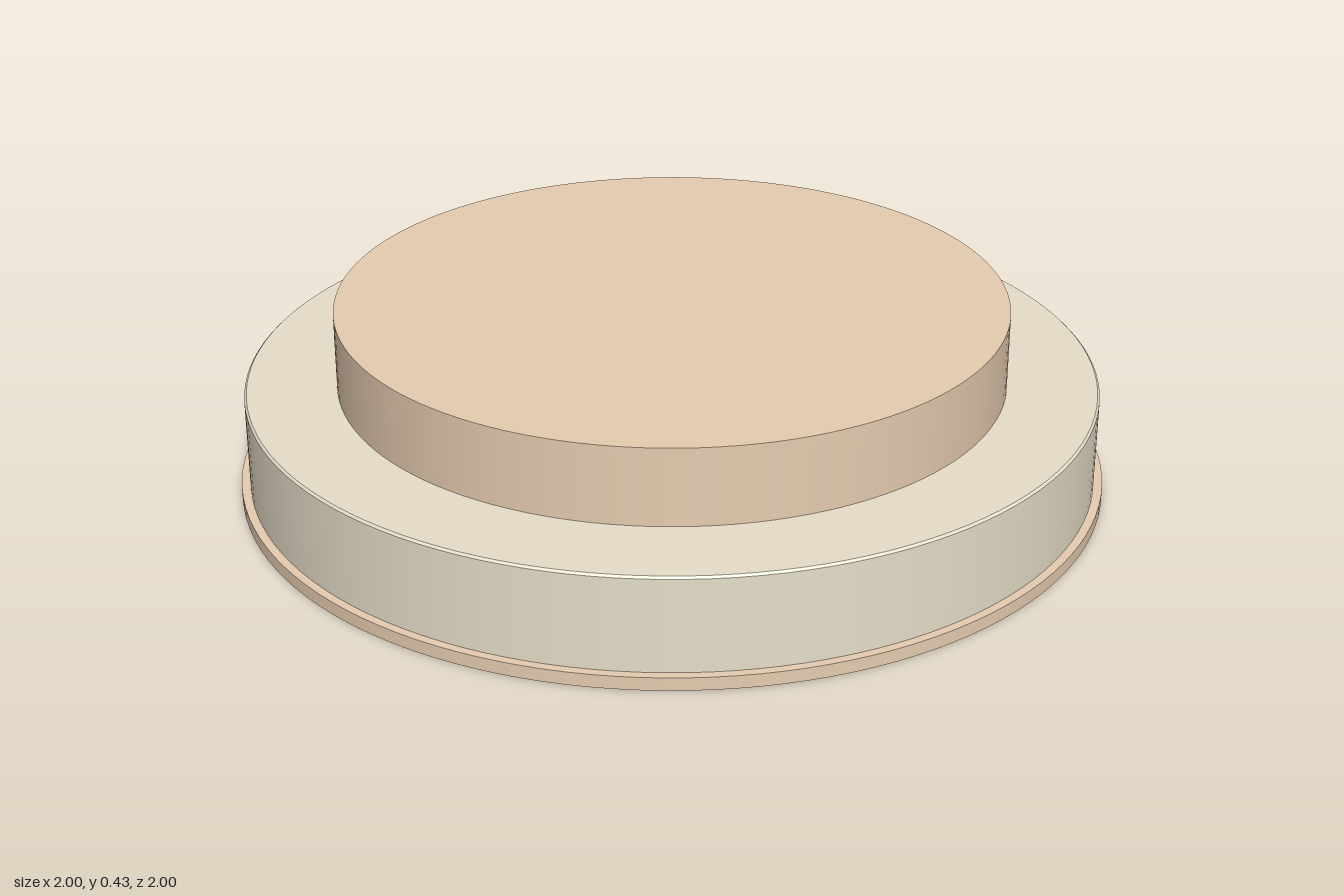
import * as THREE from 'three';

const TAN = 0xe6ccb0;
const IVORY = 0xe6dec9;

export function createModel() {
  const model = new THREE.Group();
  model.name = 'steppedRoundPlinth';
  const materials = {
    tan: new THREE.MeshStandardMaterial({ color: TAN }),
    ivory: new THREE.MeshStandardMaterial({ color: IVORY }),
  };

  // One round tier between two heights
  function tier(name, bottomRadius, topRadius, y0, y1, material) {
    const geometry = new THREE.CylinderGeometry(topRadius, bottomRadius, y1 - y0, 128);
    geometry.translate(0, (y0 + y1) / 2, 0);
    const mesh = new THREE.Mesh(geometry, material);
    mesh.name = name;
    model.add(mesh);
  }

  // Thin foot, wide body with a fine softened rim, and raised top disc
  tier('footDisc', 1, 1, 0, 0.03, materials.tan);
  tier('body', 0.98, 0.98, 0.03, 0.245, materials.ivory);
  tier('bodyRim', 0.98, 0.975, 0.245, 0.25, materials.ivory);
  tier('topDisc', 0.77, 0.77, 0.25, 0.43, materials.tan);

  return model;
}
